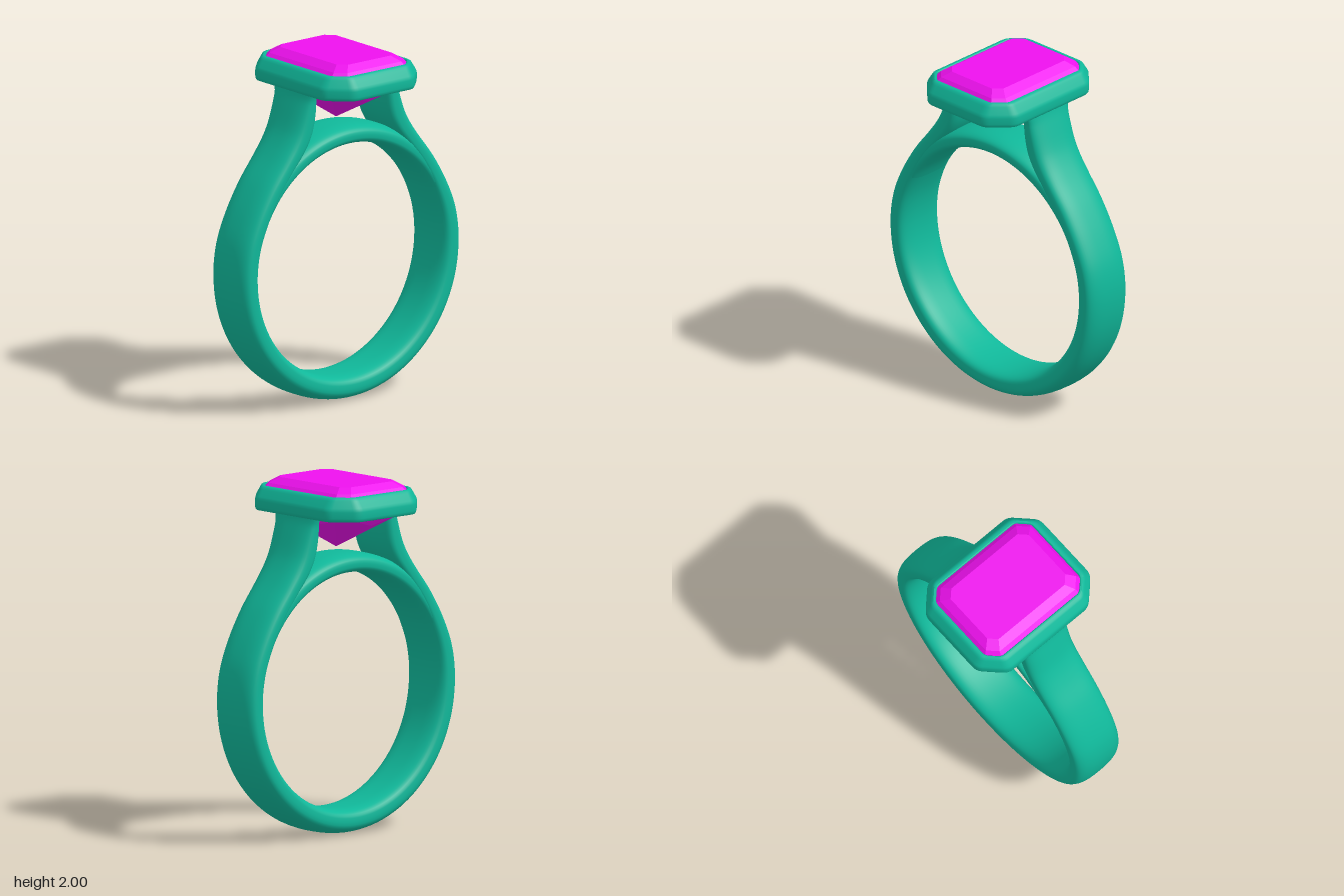
import * as THREE from 'three';
import { toCreasedNormals } from 'three/addons/utils/BufferGeometryUtils.js';
import { ConvexGeometry } from 'three/addons/geometries/ConvexGeometry.js';

const metal = new THREE.MeshStandardMaterial({ color: 0x10b89a });
const stone = new THREE.MeshStandardMaterial({ color: 0xee11ee });
const CY = 0.81; // height of the finger hole's centre

// Skin a list of closed cross-section rings; optionally join last ring to first.
function loft(rings, closed) {
  const n = rings[0].length, index = [];
  const spans = closed ? rings.length : rings.length - 1;
  for (let i = 0; i < spans; i++) {
    const i2 = (i + 1) % rings.length;
    for (let j = 0; j < n; j++) {
      const j2 = (j + 1) % n;
      const a = i * n + j, b = i * n + j2, c = i2 * n + j, d = i2 * n + j2;
      index.push(a, b, c, b, d, c);
    }
  }
  const geo = new THREE.BufferGeometry().setFromPoints(rings.flat());
  geo.setIndex(index);
  geo.computeVertexNormals();
  return geo;
}

// Rounded band section spanning an inner and an outer edge point.
function bandSection(inner, outer, halfWidth, n = 40) {
  const ring = [];
  for (let j = 0; j < n; j++) {
    const a = (j / n) * Math.PI * 2, c = Math.cos(a), s = Math.sin(a);
    const e = c > 0 ? 2.6 : 3.2;
    const u = Math.sign(c) * Math.abs(c) ** (2 / e);
    const v = Math.sign(s) * Math.abs(s) ** (2 / e);
    const p = inner.clone().lerp(outer, (u + 1) / 2);
    p.z = v * halfWidth;
    ring.push(p);
  }
  return ring;
}

const polar = (r, a) => new THREE.Vector3(r * Math.cos(a), CY + r * Math.sin(a), 0);

// Shank: shoulders rising to the setting, joined by the lower half circle.
function shankGeometry() {
  const side = [ // inner x, y, outer x, y
    [0.265, 1.86, 0.33, 1.86], [0.25, 1.81, 0.34, 1.81], [0.245, 1.72, 0.365, 1.735],
    [0.265, 1.6, 0.41, 1.615], [0.31, 1.51, 0.448, 1.545], [0.4, 1.4, 0.505, 1.462],
    [0.5, 1.272, 0.613, 1.322], [0.585, 1.128, 0.715, 1.15], [0.645, 0.972, 0.779, 0.99],
  ];
  const inner = [], outer = [];
  const add = (s, m) => {
    inner.push(new THREE.Vector3(m * s[0], s[1], 0));
    outer.push(new THREE.Vector3(m * s[2], s[3], 0));
  };
  side.forEach((s) => add(s, 1));
  for (let k = 0; k <= 12; k++) {
    const a = (-k / 12) * Math.PI;
    inner.push(polar(0.665, a));
    outer.push(polar(0.802 + 0.006 * Math.sin(-a), a));
  }
  [...side].reverse().forEach((s) => add(s, -1));
  const ci = new THREE.CatmullRomCurve3(inner), co = new THREE.CatmullRomCurve3(outer);
  const rings = [], steps = 150;
  for (let i = 0; i <= steps; i++) {
    const t = i / steps, pi = ci.getPoint(t);
    const flare = 0.012 * THREE.MathUtils.smoothstep(pi.y, 1.77, 1.84);
    rings.push(bandSection(pi, co.getPoint(t), 0.158 + flare));
  }
  return loft(rings, false);
}

// Bridge: the arc closing the finger hole below the stone.
function bridgeGeometry() {
  const rings = [];
  for (let i = 0; i <= 50; i++) {
    const a = THREE.MathUtils.degToRad(152 - (124 * i) / 50);
    rings.push(bandSection(polar(0.665, a), polar(0.778, a), 0.154));
  }
  return loft(rings, false);
}

// Corners of a rectangle with cut corners, in order around y.
function octagon(hx, hz, cut, y) {
  const x = hx - cut, z = hz - cut;
  return [[hx, z], [x, hz], [-x, hz], [-hx, z], [-hx, -z], [-x, -hz], [x, -hz], [hx, -z]]
    .map(([px, pz]) => new THREE.Vector3(px, y, pz));
}

// Octagon with softly rounded corners.
function softOctagon(hx, hz, cut, y, r) {
  const pts = octagon(hx, hz, cut, y);
  return pts.flatMap((p, i) => {
    const toward = (q) => p.clone().add(q.clone().sub(p).setLength(r));
    const from = toward(pts[(i + 7) % 8]), to = toward(pts[(i + 1) % 8]);
    return new THREE.QuadraticBezierCurve3(from, p, to).getPoints(5);
  });
}

// Bezel: a frame profile (inset, height) carried around the octagon.
function bezelGeometry() {
  const profile = [
    [0.085, 1.82], [0.02, 1.82], [0.008, 1.823], [0.002, 1.831], [0, 1.843], [0, 1.878],
    [0.002, 1.889], [0.008, 1.9], [0.033, 1.937], [0.041, 1.948], [0.053, 1.955],
    [0.066, 1.955], [0.071, 1.95], [0.075, 1.91],
  ];
  const loops = profile.map(([d, y]) =>
    softOctagon(0.345 - d, 0.425 - d, 0.13 - 0.9 * d, y, 0.035 - 0.2 * d));
  const rings = loops[0].map((_, i) => loops.map((l) => l[i]));
  return toCreasedNormals(loft(rings, true), 0.6);
}

// Stone: table, crown, girdle and a pavilion with ridges running to a point.
function stoneGeometry() {
  const v = (x, y, z) => new THREE.Vector3(x, y, z);
  return new ConvexGeometry([
    ...octagon(0.2, 0.29, 0.045, 2),
    ...octagon(0.25, 0.335, 0.055, 1.968),
    ...octagon(0.275, 0.355, 0.065, 1.942),
    ...octagon(0.274, 0.354, 0.065, 1.91),
    ...octagon(0.24, 0.325, 0.075, 1.81),
    v(0, 1.765, 0.29), v(0, 1.765, -0.29), v(0.2, 1.752, 0), v(-0.2, 1.752, 0),
    v(0, 1.615, 0),
  ]);
}

export function createModel() {
  const group = new THREE.Group();
  group.name = 'ring';
  const add = (name, geometry, material) => {
    const mesh = new THREE.Mesh(geometry, material);
    mesh.name = name;
    group.add(mesh);
  };
  add('shank', shankGeometry(), metal);
  add('bridge', bridgeGeometry(), metal);
  add('bezel', bezelGeometry(), metal);
  add('stone', stoneGeometry(), stone);
  return group;
}
